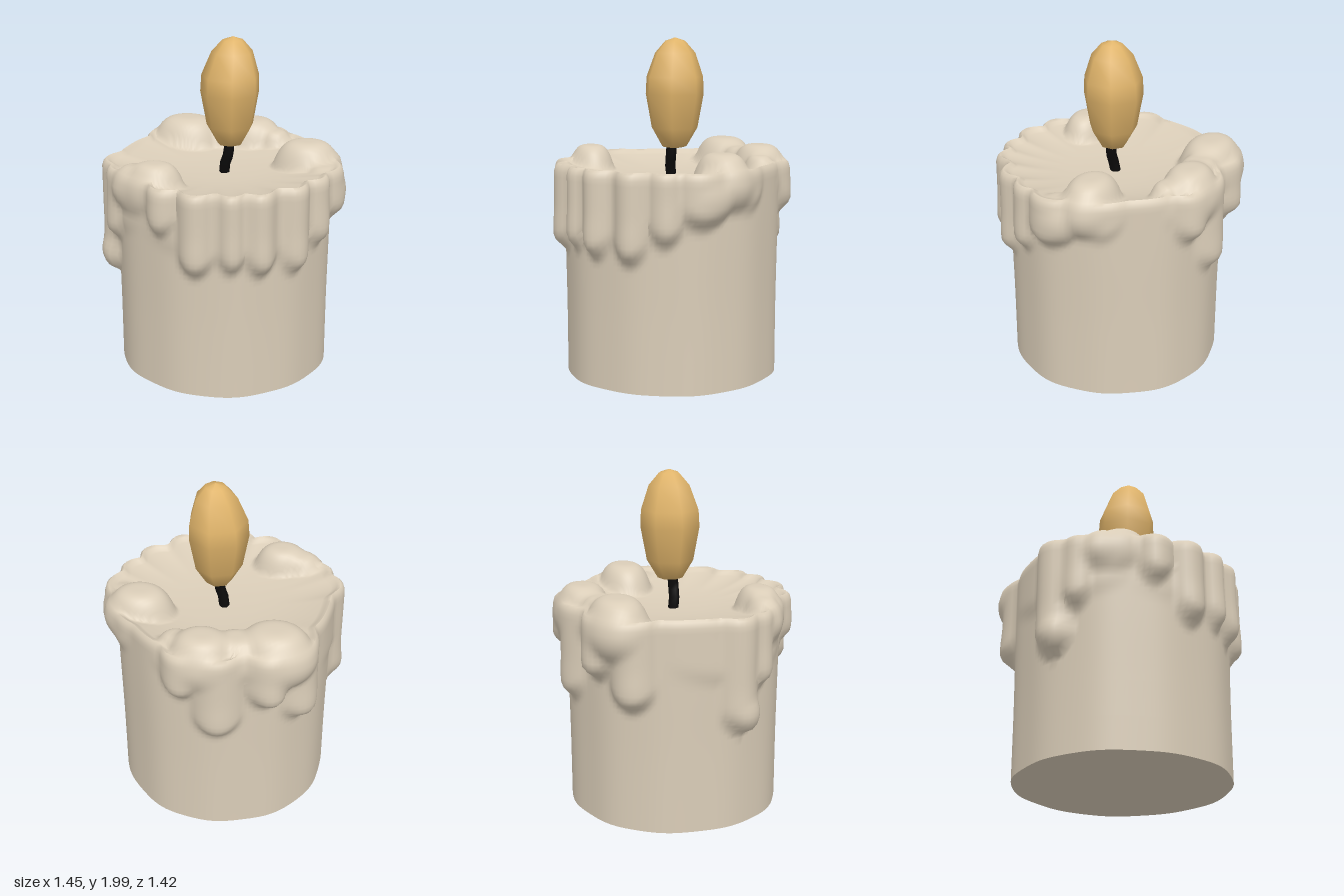
import * as THREE from 'three';
import { toCreasedNormals } from 'three/addons/utils/BufferGeometryUtils.js';

const wax = new THREE.MeshStandardMaterial({ color: 0xdacdb8 });
wax.name = 'wax';
const flameColor = new THREE.MeshStandardMaterial({ color: 0xe0b46a });
flameColor.name = 'flame amber';
const wickColor = new THREE.MeshStandardMaterial({ color: 0x0b0a0a });
wickColor.name = 'wick black';

// Wax runs on the wall: angle in degrees (front = 90), half width, lower end, thickness
const DRIPS = [
  [65, 62, 0.87, 0.016], [165, 40, 0.9, 0.018],
  [4, 16, 0.98, 0.075], [23, 10, 0.88, 0.065], [41, 10, 0.77, 0.068], [61, 9, 0.79, 0.075],
  [76, 8, 0.82, 0.062], [94, 10, 0.79, 0.075], [113, 10, 1.0, 0.065], [136, 16, 1.05, 0.025],
  [153, 10, 0.85, 0.07], [166, 12, 0.62, 0.085], [222, 13, 0.76, 0.09],
  [242, 12, 0.92, 0.1], [268, 14, 0.73, 0.065], [287, 12, 0.98, 0.075], [337, 14, 1.05, 0.03],
];

// Rounded lumps of molten wax that swell out of the body: centre, half sizes
const LUMPS = [
  [[-0.33, 1.18, -0.46], [0.24, 0.19, 0.19]], // back right
  [[-0.12, 1.18, -0.49], [0.19, 0.15, 0.14]],
  [[0.07, 1.18, -0.53], [0.21, 0.18, 0.17]], // back middle
  [[0.22, 1.16, -0.47], [0.13, 0.15, 0.11]],
  [[0.47, 1.18, -0.13], [0.215, 0.18, 0.17]], // left
  [[0.59, 1.12, 0.0], [0.125, 0.14, 0.14]],
  [[-0.33, 1.19, 0.41], [0.18, 0.16, 0.14]], // front right
  [[-0.44, 1.18, 0.38], [0.15, 0.14, 0.11]],
  [[-0.62, 0.7, 0.18], [0.1, 0.12, 0.1]], // tip of the long run
];

// Maximum with a rounded transition of width k
function smoothMax(a, b, k) {
  const h = Math.max(k - Math.abs(a - b), 0) / k;
  return Math.max(a, b) + (h * h * k) / 4;
}

// Radius of the wall, with its runs and lumps
function wallRadius(deg, y) {
  const a = THREE.MathUtils.degToRad(deg), cos = Math.cos(a), sin = Math.sin(a);
  let extra = 0;
  for (const [center, half, low, thick] of DRIPS) {
    const d = Math.abs(((deg - center + 540) % 360) - 180) / half;
    if (d >= 1) continue;
    const end = low + 0.1 * d * d;
    const down = THREE.MathUtils.smoothstep(y, end - 0.05, end + 0.06);
    const tip = 1 + 0.12 * Math.exp(-(((y - low - 0.1) / 0.1) ** 2));
    extra = Math.max(extra, thick * Math.cos((d * Math.PI) / 2) ** 0.9 * down * tip);
  }
  const ripple = 0.004 * Math.sin(5 * a + 1) + 0.003 * Math.sin(11 * a);
  let r = 0.627 - 0.009 * cos + 0.007 * sin + ripple + 0.008 * THREE.MathUtils.smoothstep(y, 0.3, 1.1) + extra;
  for (const [[cx, cy, cz], [sx, sy, sz]] of LUMPS) {
    // far crossing of the outward ray with the lump
    const A = (cos / sx) ** 2 + (sin / sz) ** 2;
    const B = (cos * cx) / sx ** 2 + (sin * cz) / sz ** 2;
    const C = (cx / sx) ** 2 + (cz / sz) ** 2 + ((y - cy) / sy) ** 2 - 1;
    const D = B * B - A * C;
    if (D > 0 && B > 0) r = smoothMax(r, (B + Math.sqrt(D)) / A, 0.03);
  }
  return r;
}

// Height of the top, raised by the lumps
function topHeight(x, y, z) {
  for (const [[cx, cy, cz], [sx, sy, sz]] of LUMPS) {
    const d2 = ((x - cx) / sx) ** 2 + ((z - cz) / sz) ** 2;
    y = smoothMax(y, cy + sy * (1 - d2 * d2), 0.03);
  }
  return y;
}

// Closed body: base, dripping wall, rim and hollow top, as rings of [radius scale, y]
function bodyGeometry() {
  const N = 160, rimY = 1.23;
  const rings = [[0, 0.01], [1, 0.01], [1, 0.2], [1, 0.4], [1, 0.5]];
  for (let i = 0; i <= 22; i++) rings.push([1, 0.55 + (i * (rimY - 0.55)) / 22]);
  const firstTop = rings.length;
  rings.push([0.987, 1.262], [0.965, 1.276], [0.935, 1.266]);
  for (let s = 0.91; s > 0.3; s -= 0.02) rings.push([s, 1.18 + 0.09 * s ** 2.5]);
  rings.push([0.15, 1.18], [0, 1.18]);

  const pos = [], index = [];
  rings.forEach(([s, y], j) => {
    for (let i = 0; i < N; i++) {
      const deg = (i * 360) / N, a = THREE.MathUtils.degToRad(deg);
      const full = wallRadius(deg, Math.min(y, rimY));
      // the hollow becomes round towards the middle
      const r = s * THREE.MathUtils.lerp(0.65, full, THREE.MathUtils.smoothstep(s, 0.4, 0.95));
      const x = r * Math.cos(a), z = r * Math.sin(a);
      pos.push(x, j >= firstTop ? topHeight(x, y, z) : y, z);
      if (j === 0) continue;
      const k = (i + 1) % N, lo = (j - 1) * N, hi = j * N;
      if (j > 1) index.push(lo + i, hi + i, lo + k);
      if (j < rings.length - 1) index.push(j > 1 ? lo + k : lo + i, hi + i, hi + k);
    }
  });
  const g = new THREE.BufferGeometry();
  g.setAttribute('position', new THREE.Float32BufferAttribute(pos, 3));
  g.setIndex(index);
  return toCreasedNormals(g, 1.25);
}

export function createModel() {
  const candle = new THREE.Group();
  candle.name = 'candle';
  const add = (name, geometry, material) => {
    const mesh = new THREE.Mesh(geometry, material);
    mesh.name = name;
    candle.add(mesh);
  };

  add('body', bodyGeometry(), wax);

  // Bent wick
  const path = new THREE.CatmullRomCurve3([
    new THREE.Vector3(-0.01, 1.15, 0.0), new THREE.Vector3(0.0, 1.24, 0.015),
    new THREE.Vector3(0.02, 1.3, 0.018), new THREE.Vector3(0.022, 1.42, 0.01),
  ]);
  add('wick', new THREE.TubeGeometry(path, 6, 0.031, 6), wickColor);

  // Seven-sided flame, its tip leaning a little to the left
  const profile = [[0, 1.345], [0.075, 1.36], [0.14, 1.47], [0.177, 1.67], [0.172, 1.77], [0.122, 1.91], [0.06, 1.98], [0, 2]]
    .map(([r, y]) => new THREE.Vector2(r, y));
  const flame = new THREE.LatheGeometry(profile, 7, 1.15);
  const p = flame.attributes.position;
  for (let i = 0; i < p.count; i++) {
    p.setX(i, p.getX(i) + 0.026 + 0.016 * THREE.MathUtils.smoothstep(p.getY(i), 1.7, 2));
  }
  add('flame', flame, flameColor);

  return candle;
}
